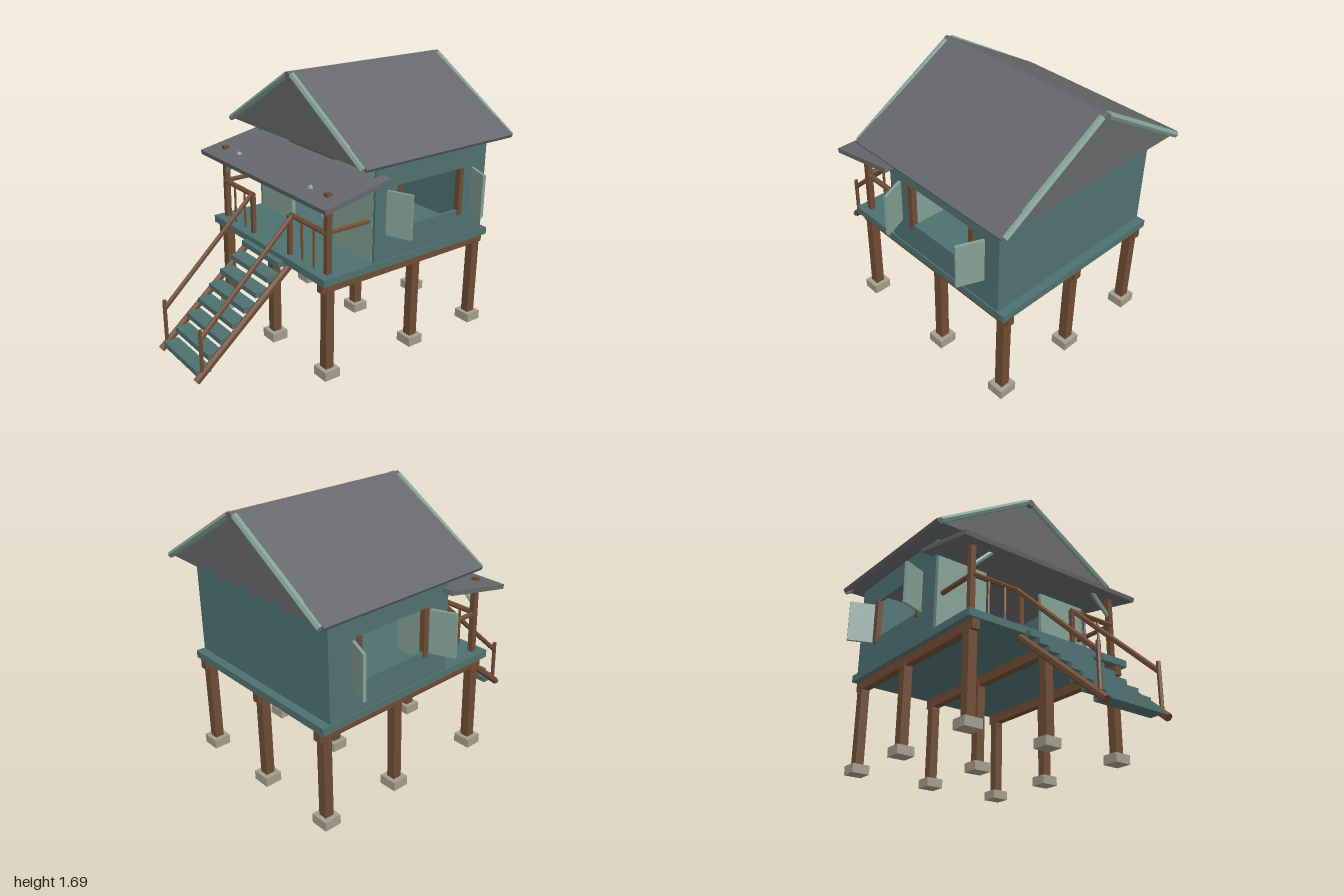
import * as THREE from 'three';

const mat = (color) => new THREE.MeshStandardMaterial({ color, flatShading: true });

export function createModel() {
  const model = new THREE.Group();
  const teal = mat(0x4f7170), pale = mat(0x84a095), grey = mat(0x65676a);
  const brown = mat(0x6f4c34), stone = mat(0xa39d8d);

  const add = (name, geometry, material) => {
    const mesh = new THREE.Mesh(geometry, material);
    mesh.name = name;
    model.add(mesh);
    return mesh;
  };
  // Box given by its min and max on each axis
  const box = (name, m, x0, x1, y0, y1, z0, z1) => {
    const mesh = add(name, new THREE.BoxGeometry(x1 - x0, y1 - y0, z1 - z0), m);
    mesh.position.set((x0 + x1) / 2, (y0 + y1) / 2, (z0 + z1) / 2);
    return mesh;
  };
  // Six-sided pole between two points
  const pole = (name, m, a, b, r) => {
    const p = new THREE.Vector3(...a), q = new THREE.Vector3(...b);
    const dir = q.clone().sub(p);
    const mesh = add(name, new THREE.CylinderGeometry(r, r, dir.length(), 6), m);
    mesh.position.copy(p).add(q).multiplyScalar(0.5);
    mesh.quaternion.setFromUnitVectors(new THREE.Vector3(0, 1, 0), dir.normalize());
    return mesh;
  };

  // Stilts, footings and floor beams
  for (const x of [-0.54, 0, 0.54]) {
    for (const z of [0.3, -0.35, -0.867]) {
      box('footing', stone, x - 0.057, x + 0.057, 0, 0.057, z - 0.053, z + 0.053);
      box('stilt', brown, x - 0.028, x + 0.028, 0.057, 0.58, z - 0.028, z + 0.028);
    }
    box('floorBeam', brown, x - 0.025, x + 0.025, 0.55, 0.61, -0.917, 0.355);
  }
  box('deck', teal, -0.6, 0.6, 0.61, 0.655, -0.92, 0.37);

  // House walls
  box('backWall', teal, -0.59, 0.59, 0.655, 1.25, -0.868, -0.845);
  box('doorHeader', brown, -0.23, 0.23, 1.185, 1.255, -0.03, 0.018);

  const rect = (shape, x0, x1, y0, y1) =>
    shape.moveTo(x0, y0).lineTo(x1, y0).lineTo(x1, y1).lineTo(x0, y1).closePath();
  const sideShape = rect(new THREE.Shape(), -0.868, 0.008, 0.655, 1.25);
  sideShape.holes.push(rect(new THREE.Path(), -0.66, -0.175, 0.832, 1.097));
  const sideGeo = new THREE.ExtrudeGeometry(sideShape, { depth: 0.02, bevelEnabled: false });
  sideGeo.rotateY(-Math.PI / 2);

  for (const s of [-1, 1]) {
    const sbox = (name, m, x0, x1, ...rest) =>
      box(name, m, Math.min(s * x0, s * x1), Math.max(s * x0, s * x1), ...rest);

    sbox('frontWall', pale, 0.22, 0.575, 0.655, 1.25, -0.015, 0.01);
    add('sideWall', sideGeo, teal).position.x = s > 0 ? 0.592 : -0.572;

    // Window jambs and open shutters
    for (const z of [-0.171, -0.663]) {
      sbox('windowJamb', brown, 0.565, 0.6, 0.8, 1.1, z - 0.016, z + 0.016);
    }
    for (const z of [-0.107, -0.732]) {
      const front = z > -0.4 ? 1 : -1;
      const shutter = box('shutter', pale, -0.08, 0.08, 0.815, 1.085, -0.009, 0.009);
      shutter.position.x = s * 0.668;
      shutter.position.z = z;
      shutter.rotation.y = front * 0.38;
    }

    // Porch post, brace and railings
    sbox('porchPost', brown, 0.523, 0.557, 0.655, 1.135, 0.283, 0.317);
    pole('porchBrace', pale, [s * 0.535, 0.965, 0.3], [s * 0.37, 1.125, 0.3], 0.015);
    pole('frontRail', brown, [s * 0.2, 0.902, 0.31], [s * 0.54, 0.902, 0.31], 0.016);
    pole('sideRail', brown, [s * 0.54, 0.902, 0.31], [s * 0.54, 0.902, 0.0], 0.016);
    for (const x of [0.31, 0.425]) {
      pole('baluster', brown, [s * x, 0.655, 0.31], [s * x, 0.9, 0.31], 0.008);
    }
    sbox('stairTopPost', brown, 0.186, 0.212, 0.655, 0.9, 0.305, 0.33);

    // Stair sides
    pole('stringer', brown, [s * 0.22, 0.045, 0.985], [s * 0.22, 0.595, 0.335], 0.023);
    pole('handrail', brown, [s * 0.22, 0.31, 0.945], [s * 0.22, 0.9, 0.315], 0.016);
    pole('stairBottomPost', brown, [s * 0.22, 0.1, 0.945], [s * 0.22, 0.365, 0.945], 0.013);

    // Roof slope with end trim
    const slope = Math.atan2(0.405, 0.69);
    const slab = box('roofSlope', grey, -0.403, 0.403, -0.011, 0.011, -0.975, 0.165);
    slab.position.set(s * 0.346, 1.473, -0.405);
    slab.rotation.z = -s * slope;
    for (const z of [0.17, -0.98]) {
      pole('roofTrim', pale, [s * 0.02, 1.667, z], [s * 0.675, 1.27, z], 0.02);
    }
  }

  // Gable block and ridge cap
  const gable = new THREE.Shape().moveTo(-0.65, 1.267).lineTo(0.65, 1.267).lineTo(0, 1.66).closePath();
  const gableGeo = new THREE.ExtrudeGeometry(gable, { depth: 1.13, bevelEnabled: false });
  add('gable', gableGeo, grey).position.z = -0.97;
  pole('ridgeCap', grey, [0, 1.66, -1], [0, 1.66, 0.19], 0.027);

  // Sloping porch awning
  const awning = box('porchAwning', grey, -0.665, 0.665, -0.014, 0.014, -0.231, 0.231);
  awning.position.set(0, 1.126, 0.183);
  awning.rotation.x = 0.193;

  // Stair treads
  for (let i = 0; i < 8; i++) {
    const y = 0.083 + 0.0748 * i, z = 0.925 - 0.081 * i;
    box('tread', teal, -0.203, 0.203, y - 0.017, y + 0.017, z - 0.047, z + 0.047);
  }
  return model;
}
